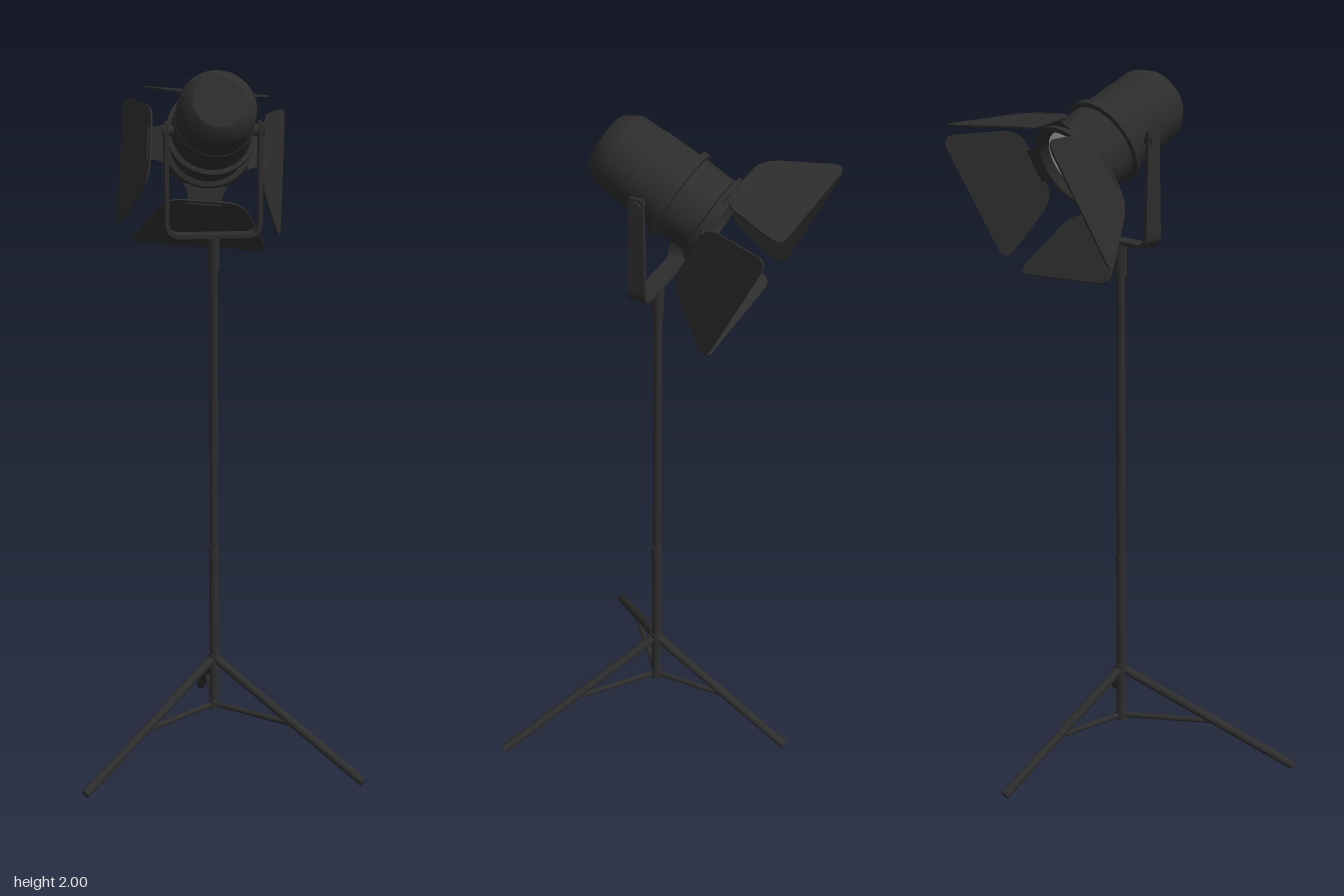
import * as THREE from 'three';
import { toCreasedNormals } from 'three/addons/utils/BufferGeometryUtils.js';

const black = new THREE.MeshStandardMaterial({ color: 0x2d2d2d });
const sheet = new THREE.MeshStandardMaterial({ color: 0x2d2d2d, side: THREE.DoubleSide });
const glass = new THREE.MeshStandardMaterial({ color: 0xcccccc });

const POLE_X = 0.013, POLE_Z = -0.03, PIVOT_Y = 1.845;
const YAW = 2.29, PITCH = 0.47, ROLL = 0.09;

function add(parent, name, geometry, material = black) {
  const mesh = new THREE.Mesh(geometry, material);
  mesh.name = name;
  parent.add(mesh);
  return mesh;
}

// Round rod between two points
function rod(parent, name, a, b, radius) {
  const dir = b.clone().sub(a);
  const mesh = add(parent, name, new THREE.CylinderGeometry(radius, radius, dir.length(), 16));
  mesh.position.copy(a).lerp(b, 0.5);
  mesh.quaternion.setFromUnitVectors(new THREE.Vector3(0, 1, 0), dir.normalize());
  return mesh;
}

function plate(shape, depth) {
  const geo = new THREE.ExtrudeGeometry(shape, { depth, bevelEnabled: false, curveSegments: 8 });
  geo.translate(0, 0, -depth / 2);
  return toCreasedNormals(geo, 0.6);
}

// Pole, collars, legs and braces
function buildStand() {
  const stand = new THREE.Group();
  stand.name = 'stand';
  const at = (y) => new THREE.Vector3(POLE_X, y, POLE_Z);
  rod(stand, 'lowerPole', at(0.12), at(0.62), 0.0135);
  rod(stand, 'upperPole', at(0.62), at(1.53), 0.012);
  rod(stand, 'poleCollar', at(0.6), at(0.628), 0.016);
  rod(stand, 'topSocket', at(1.44), at(1.535), 0.017);
  rod(stand, 'legHub', at(0.265), at(0.295), 0.018);
  rod(stand, 'braceHub', at(0.122), at(0.148), 0.017);
  for (const [x, z] of [[-0.485, -0.12], [0.03, 0.478], [0.34, -0.312]]) {
    const foot = new THREE.Vector3(x, 0.013, z);
    rod(stand, 'leg', at(0.283), foot, 0.013);
    rod(stand, 'brace', at(0.135), at(0.283).lerp(foot, 0.548), 0.008);
  }
  return stand;
}

// U-shaped bracket with tapered arms and pivot knobs
function buildYoke() {
  const yoke = new THREE.Group();
  yoke.name = 'yoke';
  const bottom = 1.532, top = 1.85, w = 0.135, t = 0.011, c = 0.045;
  const s = new THREE.Shape();
  s.moveTo(-w, top);
  s.lineTo(-w, bottom + c);
  s.quadraticCurveTo(-w, bottom, -w + c, bottom);
  s.lineTo(w - c, bottom);
  s.quadraticCurveTo(w, bottom, w, bottom + c);
  s.lineTo(w, top);
  s.lineTo(w - t, top);
  s.lineTo(w - t, bottom + c);
  s.quadraticCurveTo(w - t, bottom + t, w - c, bottom + t);
  s.lineTo(-w + c, bottom + t);
  s.quadraticCurveTo(-w + t, bottom + t, -w + t, bottom + c);
  s.lineTo(-w + t, top);
  s.closePath();
  const geo = plate(s, 0.052);
  const p = geo.attributes.position;
  for (let i = 0; i < p.count; i++) if (p.getY(i) > 1.8) p.setZ(i, p.getZ(i) * 0.75);
  add(yoke, 'bracket', geo);
  for (const side of [-1, 1]) {
    const knob = add(yoke, 'pivotKnob', new THREE.CylinderGeometry(0.016, 0.016, 0.034, 20));
    knob.rotation.z = Math.PI / 2;
    knob.position.set(side * 0.124, 1.828, 0);
  }
  yoke.position.set(POLE_X, 0, POLE_Z);
  yoke.rotation.y = YAW;
  return yoke;
}

// Flared flap with rounded corners, y running outward from the hinge
function flapShape() {
  const s = new THREE.Shape();
  s.moveTo(-0.07, 0);
  s.lineTo(0.07, 0);
  s.quadraticCurveTo(0.11, 0.005, 0.13, 0.045);
  s.lineTo(0.186, 0.165);
  s.quadraticCurveTo(0.198, 0.195, 0.165, 0.2);
  s.lineTo(-0.165, 0.2);
  s.quadraticCurveTo(-0.198, 0.195, -0.186, 0.165);
  s.lineTo(-0.13, 0.045);
  s.quadraticCurveTo(-0.11, 0.005, -0.07, 0);
  return s;
}

function tabShape() {
  const s = new THREE.Shape();
  s.moveTo(-0.065, 0);
  s.lineTo(0.065, 0);
  s.quadraticCurveTo(0.045, 0.02, 0.05, 0.056);
  s.lineTo(-0.05, 0.056);
  s.quadraticCurveTo(-0.045, 0.02, -0.065, 0);
  return s;
}

// Lamp head, its local +z being the beam direction
function buildHead() {
  const head = new THREE.Group();
  head.name = 'lampHead';
  const profile = [
    [0, -0.172], [0.07, -0.172], [0.079, -0.167], [0.104, -0.132], [0.107, -0.122],
    [0.109, -0.05], [0.111, -0.049], [0.113, 0.056], [0.126, 0.058], [0.126, 0.074],
    [0.113, 0.076], [0.11, 0.165], [0.124, 0.17], [0.127, 0.2], [0.112, 0.2],
    [0.1, 0.172], [0, 0.172],
  ].map(([r, t]) => new THREE.Vector2(r, t));
  const body = toCreasedNormals(new THREE.LatheGeometry(profile, 48), 0.5);
  body.rotateX(Math.PI / 2);
  add(head, 'housing', body);
  add(head, 'lens', new THREE.CircleGeometry(0.1, 48), glass).position.z = 0.176;

  // Four barn doors around the front ring
  const flap = plate(flapShape(), 0.005), tab = plate(tabShape(), 0.005);
  for (let i = 0; i < 4; i++) {
    const door = new THREE.Group();
    door.name = 'barnDoor';
    const leaf = add(door, 'doorLeaf', flap, sheet);
    leaf.position.set(0, 0.16, 0.19);
    leaf.rotation.x = 1.18;
    const hinge = add(door, 'doorHinge', tab, sheet);
    hinge.position.set(0, 0.115, 0.183);
    hinge.rotation.x = 0.3;
    door.rotation.z = i * Math.PI / 2;
    head.add(door);
  }
  head.position.set(POLE_X, PIVOT_Y, POLE_Z);
  head.rotation.set(PITCH, YAW, ROLL, 'YXZ');
  return head;
}

export function createModel() {
  const model = new THREE.Group();
  model.name = 'studioLight';
  model.add(buildStand(), buildYoke(), buildHead());
  return model;
}
